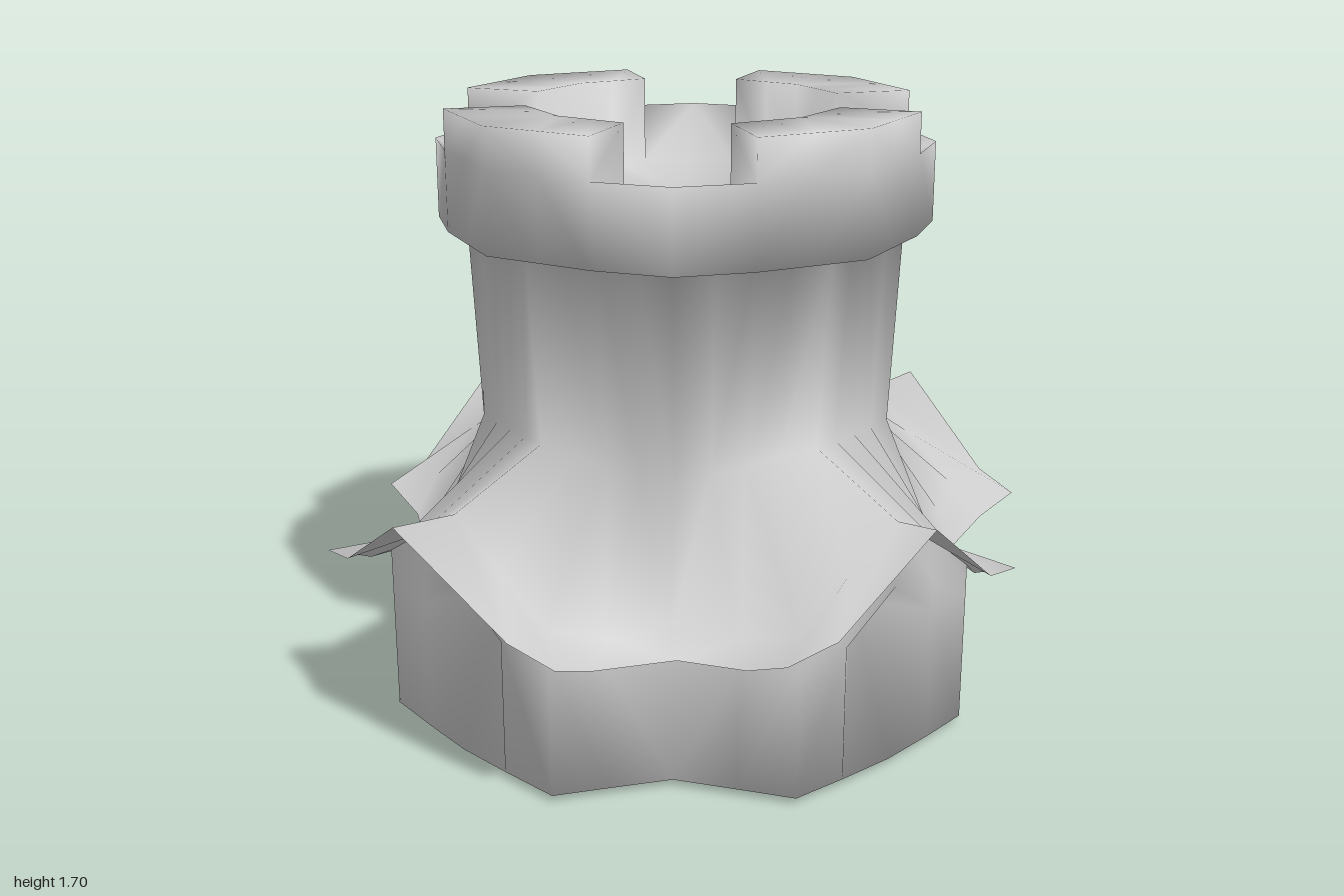
import * as THREE from 'three';
import { toCreasedNormals } from 'three/addons/utils/BufferGeometryUtils.js';

const material = new THREE.MeshStandardMaterial({ color: 0xcccccc, side: THREE.DoubleSide });

// Mirror a quarter outline (from +z round to +x) into a closed ring.
function ring(quarter) {
  const flip = (sx, sz) => quarter.map(([x, y, z]) => [x * sx, y, z * sz]);
  return [
    ...quarter,
    ...flip(1, -1).reverse().slice(1),
    ...flip(-1, -1).slice(1),
    ...flip(-1, 1).reverse().slice(1, -1),
  ];
}

// Skin a smooth surface through rings of nine points per quarter,
// with the diagonals of the quads mirrored about each side's centre.
function loft(name, quarters) {
  const rings = quarters.map(ring);
  const points = [];
  const same = (a, b) => a.every((v, k) => Math.abs(v - b[k]) < 1e-6);
  const tri = (a, b, c) => {
    if (!same(a, b) && !same(b, c) && !same(a, c)) points.push(...a, ...b, ...c);
  };
  for (let r = 0; r < rings.length - 1; r++) {
    const lo = rings[r], up = rings[r + 1];
    for (let i = 0; i < lo.length; i++) {
      const j = (i + 1) % lo.length;
      if (i % 8 < 4) {
        tri(lo[i], lo[j], up[i]);
        tri(lo[j], up[j], up[i]);
      } else {
        tri(lo[i], lo[j], up[j]);
        tri(lo[i], up[j], up[i]);
      }
    }
  }
  const geometry = new THREE.BufferGeometry();
  geometry.setAttribute('position', new THREE.Float32BufferAttribute(points, 3));
  const mesh = new THREE.Mesh(toCreasedNormals(geometry, Math.PI), material);
  mesh.name = name;
  return mesh;
}

// Quarter of an eight-sided tower section: reach along the axes, corner on the diagonals.
function towerRing(reach, corner, y, cornerY = y) {
  return Array.from({ length: 9 }, (_, i) => {
    const t = i <= 4 ? i / 4 : (8 - i) / 4;
    const a = corner * t, b = reach + (corner - reach) * t, h = y + (cornerY - y) * t;
    return i <= 4 ? [a, h, b] : [b, h, a];
  });
}

// Place a plan outline at one height, or at one height per point.
const level = (plan, y, s = 1) =>
  plan.map(([x, z], i) => [x * s, Array.isArray(y) ? y[i] : y, z * s]);

export function createModel() {
  const model = new THREE.Group();

  // Cross-shaped base with a sloping alcove in each gable wall
  const basePlan = [[0, 0.81], [0.17, 0.8], [0.33, 0.785], [0.41, 0.65], [0.5, 0.5],
    [0.65, 0.42], [0.785, 0.35], [0.8, 0.17], [0.81, 0]];
  const alcovePlan = [[0, 0.66], ...basePlan.slice(1, 8), [0.66, 0]];
  const roofLine = level(basePlan, [0.705, 0.6, 0.48, 0.45, 0.47, 0.45, 0.49, 0.6, 0.705]);
  model.add(loft('base', [
    level(basePlan, 0, 0), level(basePlan, 0, 0.9), level(basePlan, 0.02),
    level(alcovePlan, [0.44, 0.4, 0.38, 0.36, 0.36, 0.36, 0.38, 0.4, 0.44]),
    level(basePlan, [0.52, 0.48, 0.43, 0.4, 0.4, 0.4, 0.43, 0.48, 0.52]),
    roofLine,
  ]));

  // Four-gabled eaves overhanging the walls
  const eaves = [[0, 0.72, 0.94], [0.3, 0.49, 0.89], [0.45, 0.46, 0.86], [0.45, 0.4, 0.72],
    [0.54, 0.4, 0.56], [0.765, 0.42, 0.49], [0.89, 0.47, 0.51], [0.92, 0.5, 0.36], [1, 0.72, 0]];

  // Parapet outlines: doubled points make the steps between merlons and gaps
  const outer = [[0, 0.68], [0.15, 0.6325], [0.3, 0.585], [0.3, 0.585], [0.485, 0.485],
    [0.585, 0.3], [0.585, 0.3], [0.6325, 0.15], [0.68, 0]];
  const inner = [[0, 0.44], [0.1, 0.415], [0.2, 0.39], [0.2, 0.39], [0.31, 0.31],
    [0.39, 0.2], [0.39, 0.2], [0.415, 0.1], [0.44, 0]];
  const battlements = (gap) => [1.7, 1.7, 1.7, gap, gap, gap, 1.7, 1.7, 1.7];

  // Roof, tower and parapet as one smooth skin; the gaps slope down to the sunken floor
  model.add(loft('roofTowerAndParapet', [
    eaves, roofLine,
    towerRing(0.52, 0.41, 0.83, 0.79), towerRing(0.56, 0.43, 1.37),
    level(outer, 1.37), level(outer, 1.59), level(outer, battlements(1.59)),
    level(inner, battlements(1.46)), level(inner, 1.46), level(inner, 1.44, 0),
  ]));
  return model;
}
